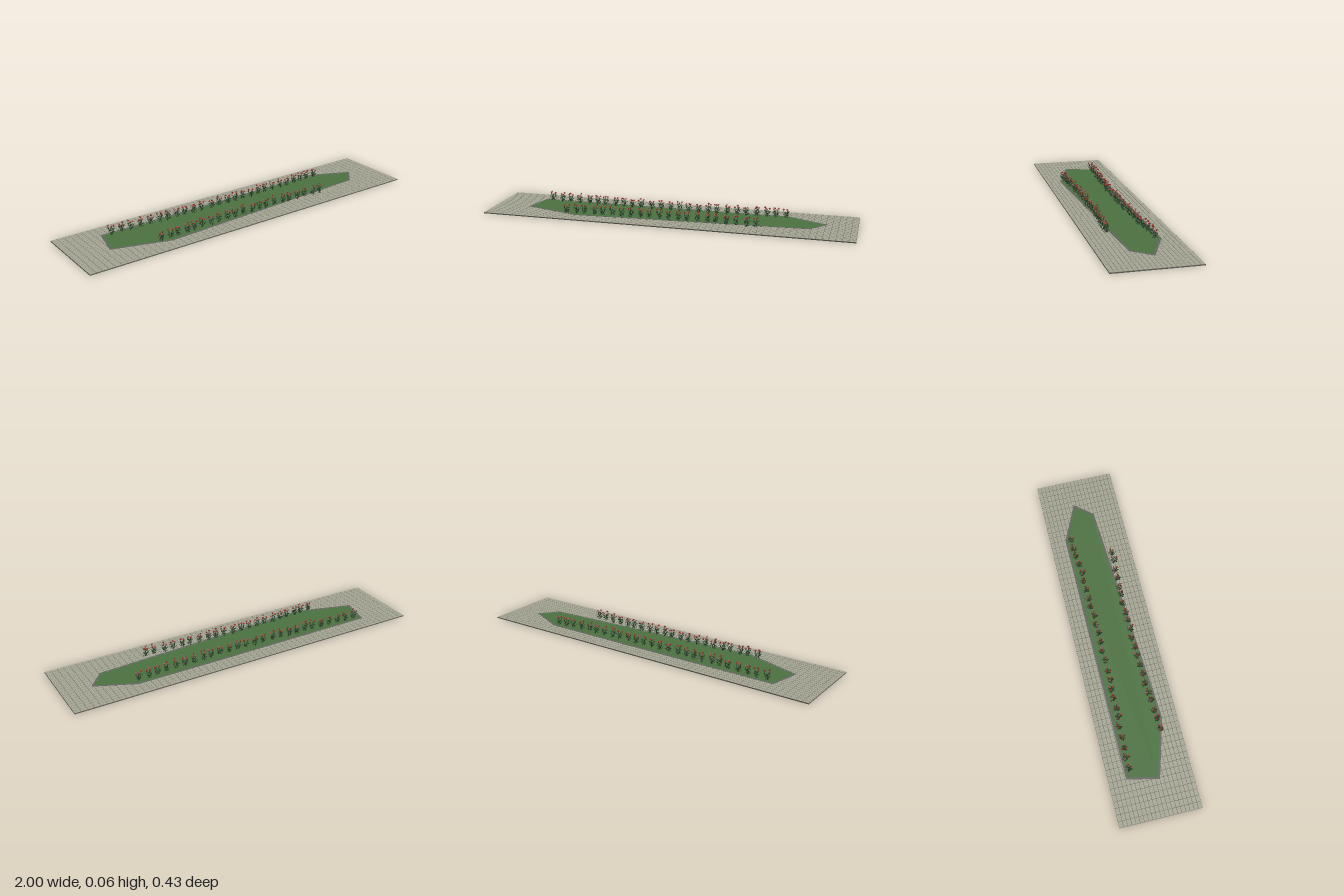
import * as THREE from 'three';
import { mergeGeometries } from 'three/addons/utils/BufferGeometryUtils.js';

const mat = (color, double) => new THREE.MeshStandardMaterial(
  { color, flatShading: true, side: double ? THREE.DoubleSide : THREE.FrontSide });
const paverMat = mat(0xa3a392), jointMat = mat(0x64645a), kerbMat = mat(0x61655f), lawnMat = mat(0x4b7040);
const leafMat = mat(0x29452a, true), stemMat = mat(0x2c4422), redMat = mat(0xa93c2c, true), pinkMat = mat(0xb8626a, true);

let seed = 7;
const rnd = (a = 0, b = 1) => {
  seed = (seed * 16807) % 2147483647;
  return a + (b - a) * seed / 2147483647;
};

function addMesh(parent, name, geometry, material) {
  const mesh = new THREE.Mesh(geometry, material);
  mesh.name = name;
  parent.add(mesh);
}

// Pointed blade growing along +y, folded along its midrib
function blade(length, width) {
  const w = width / 2, m = length * 0.5, d = width * 0.25;
  const g = new THREE.BufferGeometry();
  g.setAttribute('position', new THREE.Float32BufferAttribute(
    [0, 0, 0, w, m, d, 0, length, 0, 0, 0, 0, 0, length, 0, -w, m, d], 3));
  g.computeVertexNormals();
  return g;
}

// Tilt a piece away from vertical, turn it around y, then move it
function place(g, tilt, yaw, p) {
  return g.rotateX(tilt).rotateY(yaw).translate(p.x, p.y, p.z);
}

// Convex outline moved inward by d (points in x, z)
function inset(points, d) {
  const n = points.length;
  const lines = points.map((p, i) => {
    const q = points[(i + 1) % n], dir = q.clone().sub(p).normalize();
    return { p: p.clone().add(new THREE.Vector2(-dir.y, dir.x).multiplyScalar(d)), dir };
  });
  return lines.map((b, i) => {
    const a = lines[(i + n - 1) % n];
    const t = b.p.clone().sub(a.p).cross(b.dir) / a.dir.cross(b.dir);
    return a.p.clone().addScaledVector(a.dir, t);
  });
}

function flatPrism(points, depth, hole) {
  const flip = list => list.map(p => new THREE.Vector2(p.x, -p.y));
  const shape = new THREE.Shape(flip(points));
  if (hole) shape.holes.push(new THREE.Path(flip(hole)));
  return new THREE.ExtrudeGeometry(shape, { depth, bevelEnabled: false }).rotateX(-Math.PI / 2);
}

// Several leaning stems with leaves and a cup of petals on each
function addPlant(parts, x, z) {
  const start = rnd(0, 6.28), stems = 3;
  for (let s = 0; s < stems; s++) {
    const yaw = start + s * 2.09 + rnd(-0.3, 0.3);
    const lean = rnd(0.1, 0.3), height = rnd(0.04, 0.052);
    const axis = new THREE.Vector3(Math.sin(yaw) * Math.sin(lean), Math.cos(lean), Math.cos(yaw) * Math.sin(lean));
    const root = new THREE.Vector3(x + Math.sin(yaw) * 0.004, 0.006, z + Math.cos(yaw) * 0.004);
    const at = t => root.clone().addScaledVector(axis, t * height);

    parts.stems.push(place(new THREE.CylinderGeometry(0.0007, 0.001, height, 4)
      .translate(0, height / 2, 0), lean, yaw, root));
    for (let i = 0; i < 7; i++) {
      const length = rnd(0.016, 0.023);
      parts.leaves.push(place(blade(length, 0.0075), rnd(0.5, 1.05),
        yaw + i * 2.4 + rnd(-0.3, 0.3), at(0.05 + i * 0.09)));
    }
    const head = at(0.9), list = s === 1 ? parts.pink : parts.red;
    for (let i = 0; i < 6; i++) {
      list.push(place(blade(0.012, 0.006), i % 2 ? 0.65 : 0.3, yaw + i * 1.047, head));
    }
  }
}

function flowerRow(name, x0, x1, count, zAt) {
  const row = new THREE.Group();
  row.name = name;
  const parts = { stems: [], leaves: [], red: [], pink: [] };
  for (let i = 0; i < count; i++) {
    const x = THREE.MathUtils.lerp(x0, x1, i / (count - 1)) + rnd(-0.006, 0.006);
    addPlant(parts, x, zAt(x) + rnd(-0.006, 0.006));
  }
  addMesh(row, 'stems', mergeGeometries(parts.stems), stemMat);
  addMesh(row, 'leaves', mergeGeometries(parts.leaves), leafMat);
  addMesh(row, 'redBlossoms', mergeGeometries(parts.red), redMat);
  addMesh(row, 'pinkBlossoms', mergeGeometries(parts.pink), pinkMat);
  return row;
}

export function createModel() {
  seed = 7;
  const group = new THREE.Group();
  group.name = 'flowerBed';

  // Paved slab with a grid of shallow pavers
  const W = 2, D = 0.434, top = 0.006;
  addMesh(group, 'slab', new THREE.BoxGeometry(W, 0.0052, D).translate(0, 0.0026, 0), jointMat);
  const pavers = [], nx = 60, nz = 20, px = W / nx, pz = D / nz;
  for (let i = 0; i < nx; i++) {
    for (let j = 0; j < nz; j++) {
      pavers.push(new THREE.BoxGeometry(px - 0.002, 0.001, pz - 0.002)
        .translate(-W / 2 + (i + 0.5) * px, top - 0.0005, -D / 2 + (j + 0.5) * pz));
    }
  }
  addMesh(group, 'pavers', mergeGeometries(pavers), paverMat);

  // Lawn with a narrow kerb
  const outline = [[-0.77, -0.125], [0.63, -0.132], [0.845, -0.035], [0.76, 0.065], [-0.5, 0.138], [-0.808, 0.045]]
    .map(([x, z]) => new THREE.Vector2(x, z));
  const inner = inset(outline, 0.01);
  addMesh(group, 'kerb', flatPrism(outline, 0.0018, inner).translate(0, 0.005, 0), kerbMat);
  addMesh(group, 'lawn', flatPrism(inner, 0.0014, null).translate(0, 0.005, 0), lawnMat);

  // Two gently curved rows of flowers
  group.add(flowerRow('backFlowerRow', -0.715, 0.615, 26, x => -0.082 - 0.045 * x * x));
  group.add(flowerRow('frontFlowerRow', -0.555, 0.485, 21, x => 0.092 + 0.05 * x * x));
  return group;
}
